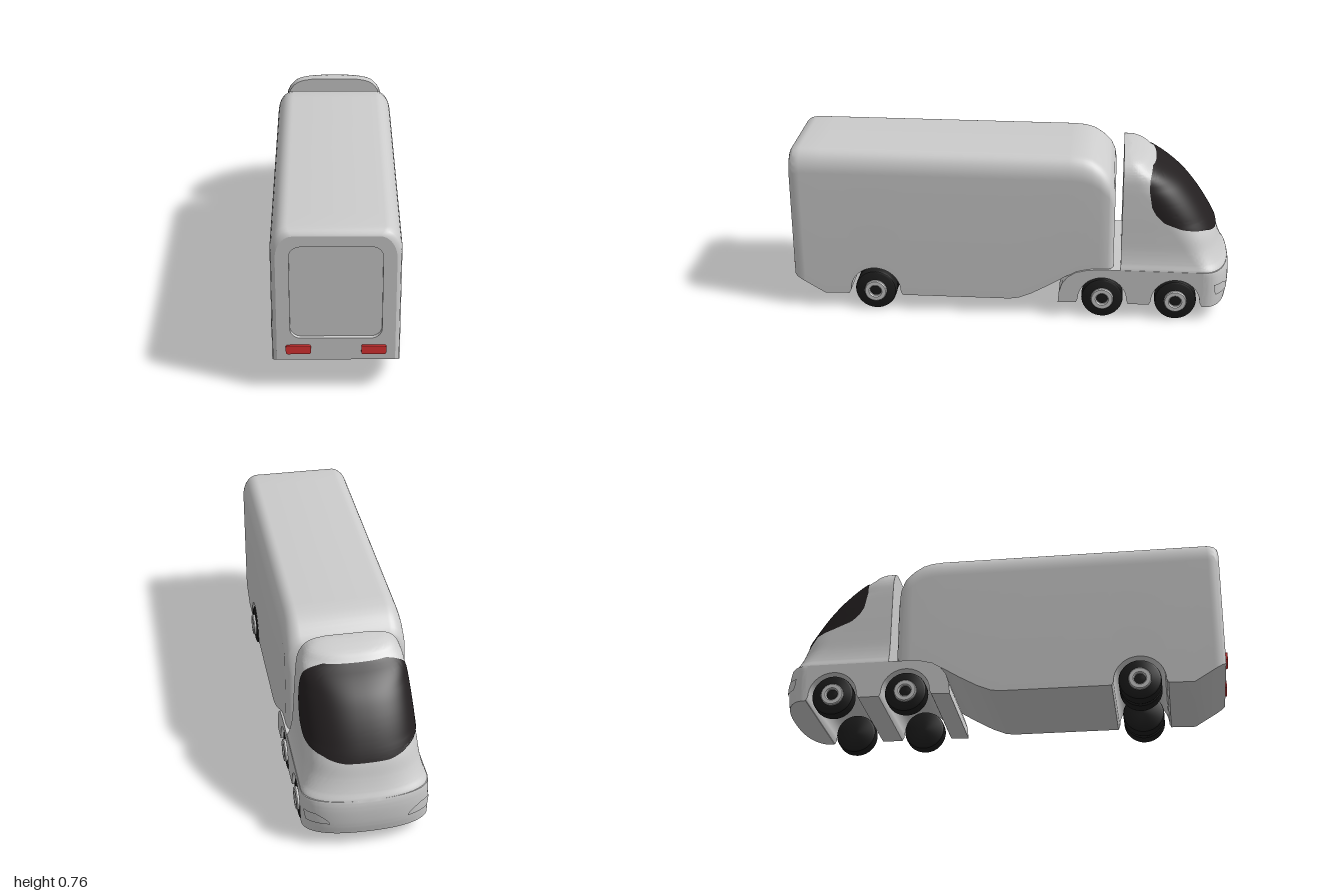
import * as THREE from 'three';
import { toCreasedNormals } from 'three/addons/utils/BufferGeometryUtils.js';

const grey = new THREE.MeshStandardMaterial({ color: 0xcccccc });
const black = new THREE.MeshStandardMaterial({ color: 0x1c1c1c });
const glass = new THREE.MeshStandardMaterial({ color: 0x231f20, side: THREE.DoubleSide });
const red = new THREE.MeshStandardMaterial({ color: 0xdd3333 });
const V = (x, y, z) => new THREE.Vector3(x, y, z);

function add(parent, name, geometry, material) {
  const mesh = new THREE.Mesh(toCreasedNormals(geometry, 0.6), material);
  mesh.name = name;
  parent.add(mesh);
  return mesh;
}

// Piecewise linear lookup in a sorted list of [key, value]
function lookup(table, k) {
  let i = 1;
  while (i < table.length - 1 && table[i][0] < k) i++;
  const [a, b] = [table[i - 1], table[i]];
  return THREE.MathUtils.mapLinear(THREE.MathUtils.clamp(k, a[0], b[0]), a[0], b[0], a[1], b[1]);
}

// Skin over rings that run counterclockwise about the direction of advance
function loft(rings, { closed = true, startCap = false, endCap = false } = {}) {
  const n = rings[0].length, pos = [], index = [];
  rings.forEach(r => r.forEach(p => pos.push(p.x, p.y, p.z)));
  for (let r = 0; r < rings.length - 1; r++) {
    for (let i = 0; i < (closed ? n : n - 1); i++) {
      const a = r * n + i, b = r * n + (i + 1) % n;
      index.push(a, b, b + n, a, b + n, a + n);
    }
  }
  const cap = (r, flip) => {
    const c = V(0, 0, 0);
    rings[r].forEach(p => c.addScaledVector(p, 1 / n));
    const k = pos.push(c.x, c.y, c.z) / 3 - 1;
    for (let i = 0; i < n; i++) {
      const a = r * n + i, b = r * n + (i + 1) % n;
      index.push(k, flip ? b : a, flip ? a : b);
    }
  };
  if (startCap) cap(0, true);
  if (endCap) cap(rings.length - 1, false);
  const g = new THREE.BufferGeometry();
  g.setAttribute('position', new THREE.Float32BufferAttribute(pos, 3));
  g.setIndex(index);
  return g;
}

// Points [z, y] of a wheel arch, running towards +z
function arch(centre, r) {
  const pts = [[centre - r - 0.008, 0.073]];
  for (let i = 0; i <= 20; i++) {
    const a = Math.PI * (1 - i / 20);
    pts.push([centre + r * Math.cos(a), 0.09 + r * Math.sin(a)]);
  }
  return [...pts, [centre + r + 0.008, 0.073]];
}

function roundedRect(Type, x0, y0, x1, y1, r) {
  const s = new Type();
  s.absarc(x1 - r, y0 + r, r, -Math.PI / 2, 0);
  s.absarc(x1 - r, y1 - r, r, 0, Math.PI / 2);
  s.absarc(x0 + r, y1 - r, r, Math.PI / 2, Math.PI);
  s.absarc(x0 + r, y0 + r, r, Math.PI, Math.PI * 1.5);
  s.closePath();
  return s;
}

// Cargo box: sections along z
const boxWidth = [[-0.467, 0.235], [-0.46, 0.25], [-0.445, 0.259], [-0.42, 0.263],
  [0.95, 0.263], [0.975, 0.258], [0.985, 0.25], [0.99, 0.242]];
const boxTop = [[-0.467, 0.6], [-0.46, 0.645], [-0.44, 0.685], [-0.4, 0.722], [-0.36, 0.747],
  [-0.32, 0.758], [-0.27, 0.762], [0.94, 0.762], [0.97, 0.757], [0.985, 0.747], [0.99, 0.738]];
const boxBottom = [[-0.467, 0.24], [-0.38, 0.24], [-0.32, 0.228], [-0.26, 0.2], [-0.18, 0.15],
  [-0.1, 0.105], [-0.04, 0.08], [0, 0.074], ...arch(0.615, 0.115), [0.85, 0.07], [0.99, 0.155]];

function boxRing(z) {
  const w = lookup(boxWidth, z), top = lookup(boxTop, z), bottom = lookup(boxBottom, z);
  const right = [V(w, bottom, z)];
  for (let i = 0; i <= 10; i++) {
    const a = i / 10 * Math.PI / 2;
    right.push(V(w - 0.07 * (1 - Math.cos(a)), top - 0.1 * (1 - Math.sin(a)), z));
  }
  return [...right, ...right.map(p => V(-p.x, p.y, z)).reverse()];
}

function buildTrailer() {
  const trailer = new THREE.Group();
  trailer.name = 'trailer';
  const zs = [...new Set([...boxWidth, ...boxTop, ...boxBottom].map(p => p[0]))].sort((a, b) => a - b);
  add(trailer, 'cargoBox', loft(zs.map(boxRing), { startCap: true }), grey);
  // Rear wall with a recessed door
  const wall = new THREE.Shape(boxRing(0.99).map(p => new THREE.Vector2(p.x, p.y)));
  wall.holes.push(roundedRect(THREE.Path, -0.187, 0.26, 0.187, 0.69, 0.045));
  add(trailer, 'rearWall', new THREE.ExtrudeGeometry(wall, { depth: 0.02, bevelEnabled: false }), grey)
    .position.z = 0.97;
  add(trailer, 'rearDoor', new THREE.BoxGeometry(0.4, 0.45, 0.01), grey).position.set(0, 0.475, 0.968);
  const lamp = new THREE.ExtrudeGeometry(roundedRect(THREE.Shape, -0.051, -0.02, 0.051, 0.02, 0.008),
    { depth: 0.02, bevelEnabled: false });
  for (const s of [-1, 1]) add(trailer, 'tailLight', lamp, red).position.set(s * 0.154, 0.208, 0.98);
  return trailer;
}

// Cab: horizontal sections; each spline point is (height, half width, front z)
const cabRows = new THREE.CatmullRomCurve3([
  V(0.07, 0.272, -0.985), V(0.12, 0.272, -0.993), V(0.2, 0.272, -0.993), V(0.24, 0.27, -0.985),
  V(0.27, 0.259, -0.968), V(0.32, 0.248, -0.946), V(0.39, 0.242, -0.922), V(0.48, 0.237, -0.872),
  V(0.56, 0.232, -0.815), V(0.615, 0.228, -0.765), V(0.66, 0.222, -0.705), V(0.695, 0.208, -0.645),
  V(0.72, 0.188, -0.615), V(0.738, 0.155, -0.57), V(0.748, 0.1, -0.53)]).getPoints(84);
const cabWidth = cabRows.map(p => [p.x, p.y]);
const cabFront = cabRows.map(p => [p.x, p.z]);
const N = 2.4;

function cabSection(y) {
  const zf = lookup(cabFront, y), low = y < 0.24;
  const back = low ? -0.87 : -0.5;
  const depth = Math.min(lookup([[0.24, 0.13], [0.45, 0.2]], y), (back - zf) * 0.75);
  return { w: lookup(cabWidth, y), zf, back, zs: low ? back : zf + depth };
}

// |t| < 1 is the curved front, 1 to 2 the straight side
function cabPoint(y, t, offset = 0) {
  const { w, zf, back, zs } = cabSection(y), u = Math.abs(t), s = Math.sign(t);
  if (u >= 1) return V(s * (w + offset), y, zs + (u - 1) * (back - zs));
  const a = u * Math.PI / 2;
  return V(s * (w + offset) * Math.sin(a) ** (2 / N), y, zs + (zf - offset - zs) * Math.cos(a) ** (2 / N));
}

// Where the side of a section reaches a given z
function cabParam(y, z) {
  const { zf, back, zs } = cabSection(y);
  if (z > zs) return 1 + (z - zs) / (back - zs);
  return Math.acos(THREE.MathUtils.clamp((z - zs) / (zf - zs), 0, 1) ** (N / 2)) / (Math.PI / 2);
}

// Thin panel that follows the cab skin; span(s) gives [y, from t, to t]
function cabPatch(span, rows, cols, offset) {
  return loft(Array.from({ length: rows + 1 }, (_, r) => {
    const [y, t0, t1] = span(r / rows);
    return Array.from({ length: cols + 1 }, (_, c) => cabPoint(y, t1 + (t0 - t1) * c / cols, offset));
  }), { closed: false });
}

function buildCab() {
  const cab = new THREE.Group();
  cab.name = 'cab';
  const ts = Array.from({ length: 65 }, (_, i) => 1 - i / 32);
  const ys = [...cabRows.map(p => p.x), 0.2399, 0.24].sort((a, b) => a - b);
  const rings = ys.map(y => [2, 1.5, ...ts, -1.5, -2].map(t => cabPoint(y, t)));
  add(cab, 'cabBody', loft(rings, { startCap: true, endCap: true }), grey);

  // Wraparound windscreen
  const edge = [[0.39, -0.915], [0.41, -0.87], [0.433, -0.765], [0.465, -0.685], [0.5, -0.65],
    [0.535, -0.63], [0.615, -0.615], [0.66, -0.616], [0.7, -0.625]];
  add(cab, 'windscreen', cabPatch(s => {
    const y = 0.39 + 0.308 * s ** 1.6, t = cabParam(y, lookup(edge, y));
    return [y, -t, t];
  }, 40, 40, 0.005), glass);

  // Headlights, tapering inwards
  for (const side of [-1, 1]) {
    add(cab, 'headlight', cabPatch(s => {
      const e = [0.36 + 0.2 * s * s, 0.8 - 0.06 * (1 - s) ** 2];
      return side > 0 ? [0.13 + 0.05 * s, ...e] : [0.13 + 0.05 * s, -e[1], -e[0]];
    }, 8, 16, 0.006), grey.clone()).material.side = THREE.DoubleSide;
  }

  // Chassis with fenders and two wheel arches
  const profile = [[-0.87, 0.24], [-0.87, 0.073], ...arch(-0.75, 0.11), ...arch(-0.42, 0.11),
    [-0.22, 0.07], [-0.224, 0.12], [-0.238, 0.165], [-0.265, 0.2], [-0.3, 0.222], [-0.35, 0.235], [-0.42, 0.24]];
  const chassis = new THREE.ExtrudeGeometry(new THREE.Shape(profile.map(p => new THREE.Vector2(...p))),
    { depth: 0.544, bevelEnabled: false });
  chassis.rotateY(-Math.PI / 2).translate(0.272, 0, 0);
  add(cab, 'chassis', chassis, grey);
  return cab;
}

const lathe = pts => new THREE.LatheGeometry(pts.map(p => new THREE.Vector2(...p)), 40).rotateZ(-Math.PI / 2);

function buildAxle(z, tyres) {
  const axle = new THREE.Group();
  axle.name = 'wheelPair';
  axle.position.set(0, 0.094, z);
  const tyre = lathe([[0, -0.033], [0.084, -0.033], [0.091, -0.029], [0.094, -0.02],
    [0.094, 0.02], [0.091, 0.029], [0.084, 0.033], [0, 0.033]]);
  const hub = lathe([[0.025, 0], [0.051, 0], [0.051, 0.018], [0.047, 0.023],
    [0.03, 0.023], [0.025, 0.018], [0.025, 0]]);
  for (const turn of [0, Math.PI]) {
    const wheel = new THREE.Group();
    wheel.name = 'wheel';
    wheel.rotation.y = turn;
    for (const x of tyres) add(wheel, 'tyre', tyre, black).position.x = x;
    add(wheel, 'hub', hub, grey).position.x = 0.255;
    axle.add(wheel);
  }
  return axle;
}

export function createModel() {
  const truck = new THREE.Group();
  truck.name = 'truck';
  truck.add(buildTrailer(), buildCab());
  truck.add(buildAxle(0.615, [0.232, 0.152]), buildAxle(-0.42, [0.232]), buildAxle(-0.75, [0.232]));
  return truck;
}
